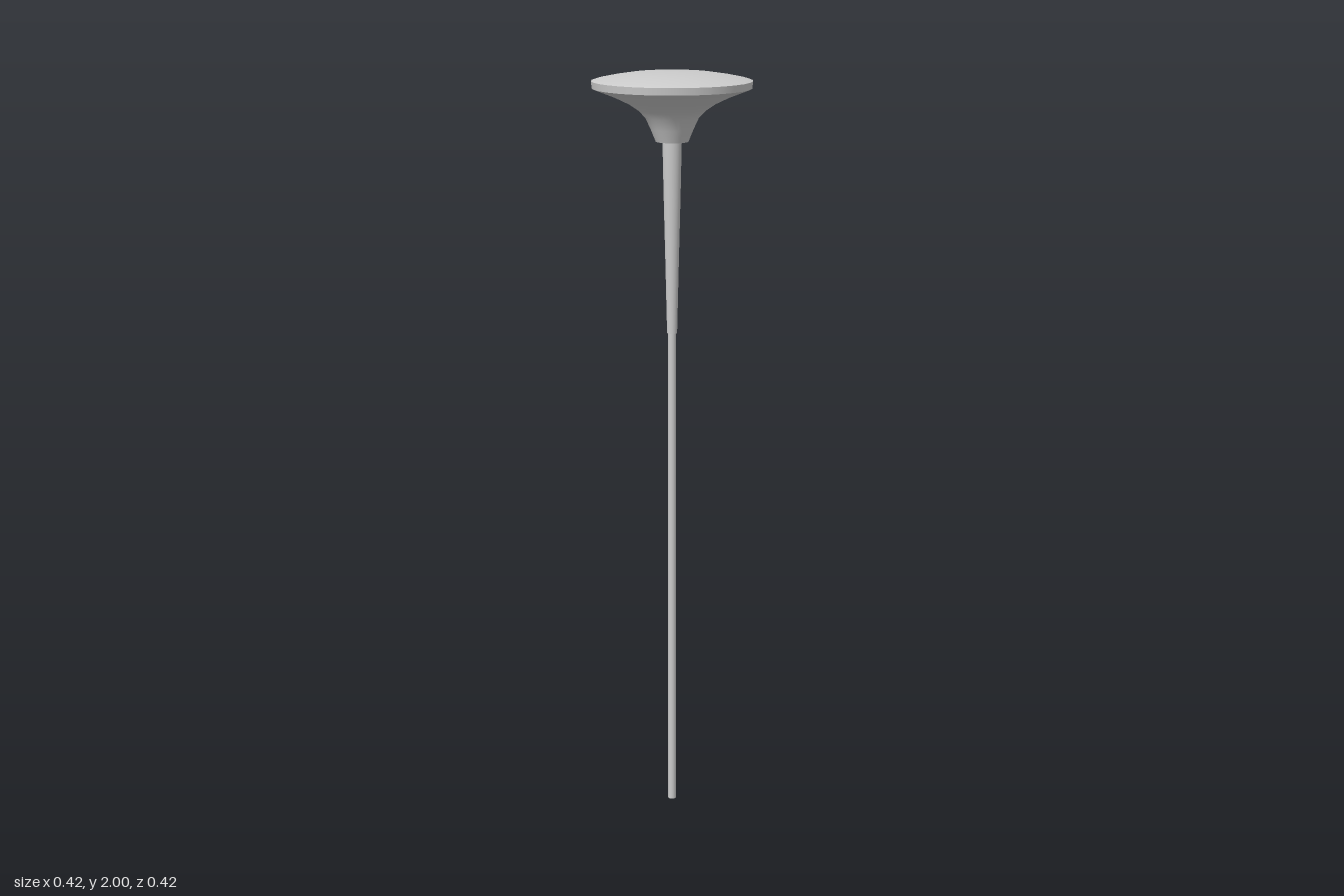
import * as THREE from 'three';

const material = new THREE.MeshStandardMaterial({ color: 0xcccccc });

// Revolves a profile of [radius, height] points, listed from bottom to top.
function lathe(name, profile, sides) {
  const points = profile.map(([r, y]) => new THREE.Vector2(r, y));
  const mesh = new THREE.Mesh(new THREE.LatheGeometry(points, sides), material);
  mesh.name = name;
  return mesh;
}

export function createModel() {
  const model = new THREE.Group();
  model.name = 'pin';

  // Head: separate lathes keep the edges between its surfaces sharp
  const head = new THREE.Group();
  head.name = 'head';
  head.add(
    lathe('collarBase', [[0, 1.818], [0.043, 1.818]], 32),
    lathe('flaredUnderside', [
      [0.043, 1.818], [0.056, 1.85], [0.07, 1.88], [0.087, 1.898],
      [0.115, 1.917], [0.155, 1.936], [0.209, 1.957],
    ], 32),
    lathe('rim', [[0.209, 1.957], [0.211, 1.976]], 32),
    lathe('domedTop', [
      [0.211, 1.976], [0.195, 1.981], [0.16, 1.988], [0.115, 1.995],
      [0.06, 1.999], [0, 2],
    ], 32),
  );
  model.add(head);

  // Tapered socket below the head
  const socket = new THREE.Group();
  socket.name = 'taperedSocket';
  socket.add(
    lathe('socketBase', [[0, 1.31], [0.0135, 1.31]], 24),
    lathe('socketWall', [[0.0135, 1.31], [0.0175, 1.48], [0.0225, 1.68], [0.0255, 1.82]], 24),
  );
  model.add(socket);

  // Thin straight stem down to the ground
  const stem = new THREE.Mesh(new THREE.CylinderGeometry(0.0108, 0.0108, 1.32, 20), material);
  stem.name = 'stem';
  stem.position.y = 0.66;
  model.add(stem);

  return model;
}
